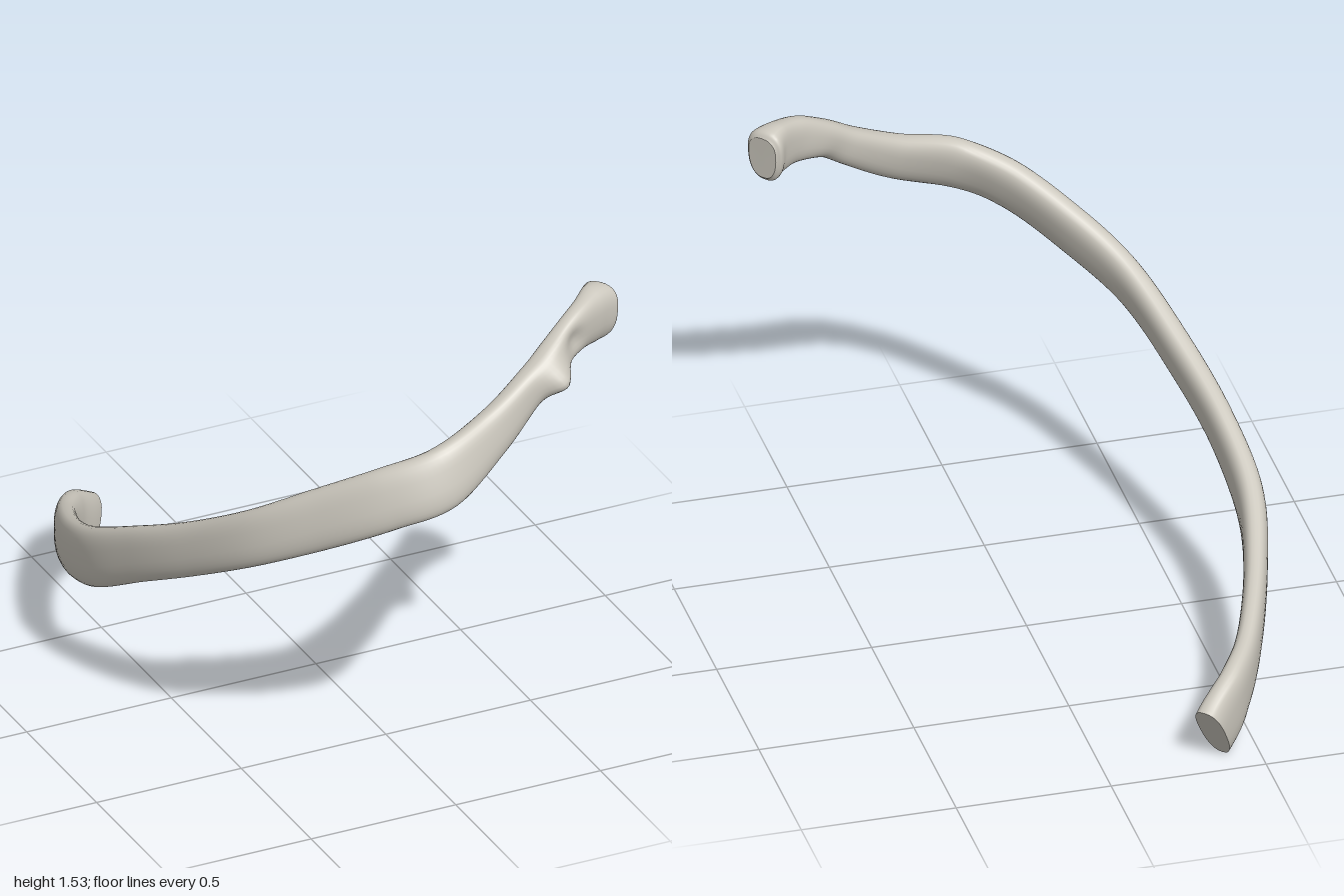
import * as THREE from 'three';

// Stations along the shaft: x, y, z, height, thickness, inward lean of the upper edge
const STATIONS = [
  [-0.335, 0.113, -0.94, 0.23, 0.095, 0.0],
  [-0.43, 0.19, -0.845, 0.225, 0.085, 0.0],
  [-0.515, 0.255, -0.7, 0.195, 0.075, 0.0],
  [-0.605, 0.352, -0.45, 0.188, 0.075, 0.0],
  [-0.655, 0.46, -0.2, 0.192, 0.085, 0.0],
  [-0.632, 0.59, 0.05, 0.178, 0.08, 0.05],
  [-0.568, 0.718, 0.3, 0.172, 0.085, 0.12],
  [-0.468, 0.86, 0.55, 0.178, 0.085, 0.18],
  [-0.315, 0.985, 0.735, 0.195, 0.088, 0.25],
  [-0.16, 1.085, 0.87, 0.2, 0.088, 0.32],
  [0.0, 1.15, 0.93, 0.198, 0.085, 0.36],
  [0.2, 1.238, 0.875, 0.155, 0.08, 0.25],
  [0.36, 1.335, 0.815, 0.125, 0.08, 0.1],
  [0.46, 1.4, 0.775, 0.125, 0.08, 0],
  [0.56, 1.442, 0.725, 0.155, 0.075, 0],
  [0.635, 1.45, 0.68, 0.178, 0.095, 0],
  [0.675, 1.448, 0.648, 0.18, 0.125, 0],
  [0.69, 1.447, 0.635, 0.145, 0.1, 0],
];
const RINGS = 150, SIDES = 32;

// Local bulges and hollows: centre, radius, push
const LUMPS = [
  [new THREE.Vector3(0.45, 1.345, 0.83), 0.055, new THREE.Vector3(0.015, -0.008, 0.06)],
  [new THREE.Vector3(0.53, 1.43, 0.78), 0.04, new THREE.Vector3(-0.005, 0, -0.02)],
  [new THREE.Vector3(0.63, 1.54, 0.67), 0.05, new THREE.Vector3(0, 0.006, -0.01)],
];

// Rings of a rounded, slightly tapering section swept along the curve
function shaftRings() {
  const curveOf = (k) => new THREE.CatmullRomCurve3(
    STATIONS.map((s) => new THREE.Vector3(s[k], s[k + 1], s[k + 2])), false, 'catmullrom', 0.5);
  const path = curveOf(0), size = curveOf(3);
  const up = new THREE.Vector3(0, 1, 0);
  const soft = (v) => Math.sign(v) * Math.abs(v) ** 0.8;
  const rings = [];
  for (let i = 0; i <= RINGS; i++) {
    const t = i / RINGS;
    const p = path.getPoint(t), T = path.getTangent(t);
    const { x: h, y: w, z: lean } = size.getPoint(t);
    const S = T.clone().cross(up).normalize(); // outward
    const U = S.clone().cross(T);              // upward
    const ring = [];
    for (let j = 0; j < SIDES; j++) {
      const a = (j / SIDES) * Math.PI * 2;
      const b = soft(Math.sin(a)) * h / 2;
      const s = soft(Math.cos(a)) * w / 2 * (1 + 0.12 * Math.sin(a));
      const v = p.clone()
        .addScaledVector(S, s * Math.cos(lean) - b * Math.sin(lean))
        .addScaledVector(U, s * Math.sin(lean) + b * Math.cos(lean));
      const base = v.clone();
      for (const [c, r, push] of LUMPS) {
        v.addScaledVector(push, Math.exp(-base.distanceToSquared(c) / (r * r)));
      }
      ring.push(v);
    }
    rings.push(ring);
  }
  return rings;
}

function geometryFrom(points, index) {
  const g = new THREE.BufferGeometry().setFromPoints(points);
  g.setIndex(index);
  g.computeVertexNormals();
  return g;
}

// Smooth skin joining the rings
function skin(rings) {
  const index = [];
  for (let i = 0; i < RINGS; i++) {
    for (let j = 0; j < SIDES; j++) {
      const k = (j + 1) % SIDES;
      const a = i * SIDES + j, b = i * SIDES + k, c = a + SIDES, d = b + SIDES;
      index.push(a, c, b, b, c, d);
    }
  }
  return geometryFrom(rings.flat(), index);
}

// Flat face closing one end
function cap(ring, flip) {
  const centre = new THREE.Vector3();
  ring.forEach((v) => centre.addScaledVector(v, 1 / SIDES));
  const index = [];
  for (let j = 0; j < SIDES; j++) {
    const k = (j + 1) % SIDES;
    index.push(SIDES, flip ? k : j, flip ? j : k);
  }
  return geometryFrom([...ring, centre], index);
}

export function createModel() {
  const bone = new THREE.MeshStandardMaterial({ color: 0xcbc7bd });
  bone.name = 'bone';
  const group = new THREE.Group();
  group.name = 'rib';
  const rings = shaftRings();
  const add = (name, geometry) => {
    const mesh = new THREE.Mesh(geometry, bone);
    mesh.name = name;
    group.add(mesh);
  };
  add('shaft', skin(rings));
  add('cutEnd', cap(rings[0], false));
  add('headFace', cap(rings[RINGS], true));

  // Centre the model and stand it on the ground
  const box = new THREE.Box3().setFromObject(group);
  const mid = box.getCenter(new THREE.Vector3());
  group.children.forEach((m) => m.geometry.translate(-mid.x, -box.min.y, -mid.z));
  return group;
}
